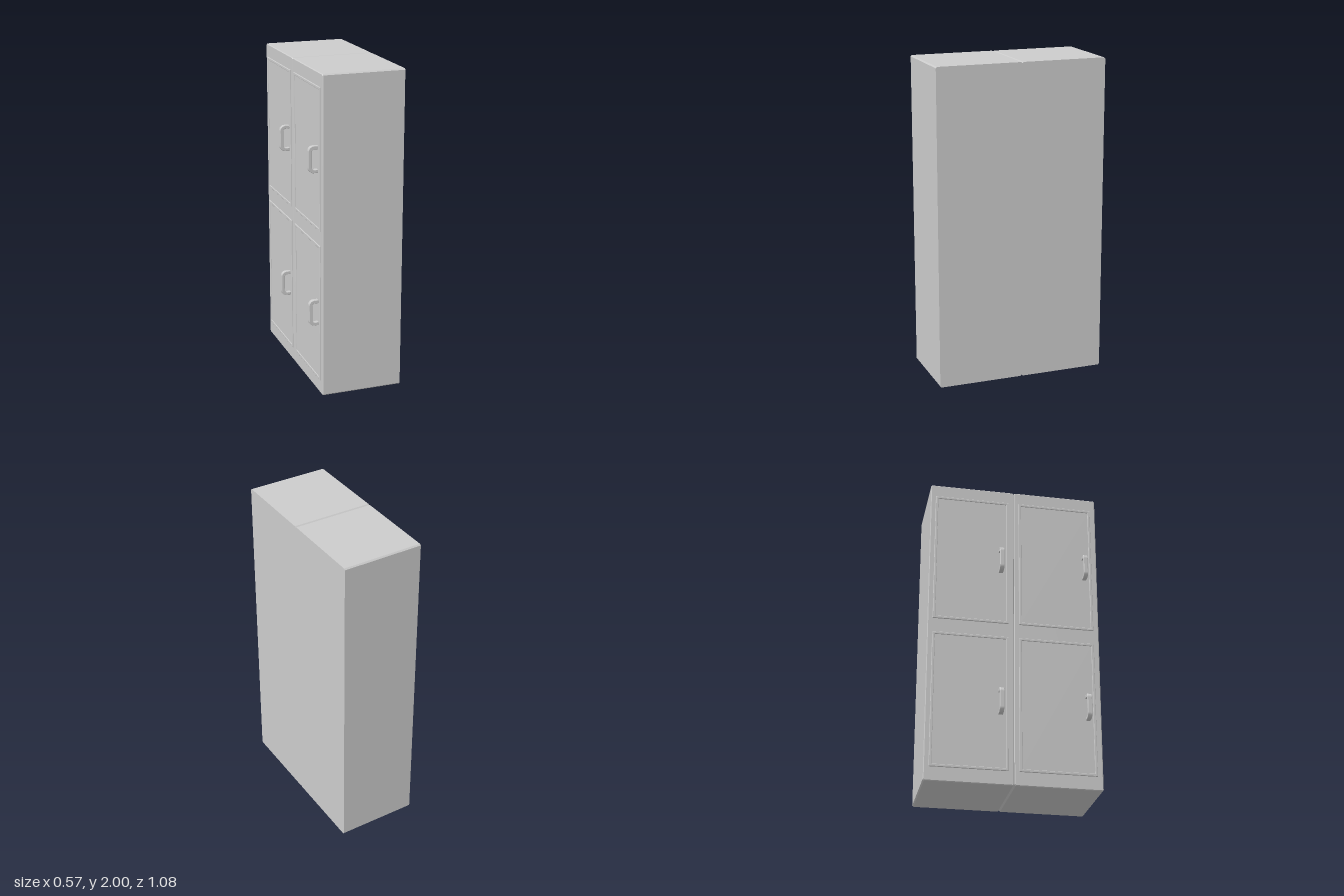
import * as THREE from 'three';

const material = new THREE.MeshStandardMaterial({ color: 0xcccccc, side: THREE.DoubleSide });

function addMesh(parent, geometry, name, x = 0, y = 0, z = 0) {
  const mesh = new THREE.Mesh(geometry, material);
  mesh.name = name;
  mesh.position.set(x, y, z);
  parent.add(mesh);
  return mesh;
}

function rectPath(path, w, h) {
  path.moveTo(-w / 2, -h / 2);
  path.lineTo(w / 2, -h / 2);
  path.lineTo(w / 2, h / 2);
  path.lineTo(-w / 2, h / 2);
  path.closePath();
  return path;
}

// Cabinet shell: chamfered front edges and long edges, flat back.
function cabinetGeometry(w, h, back, front) {
  const c = 0.005, a = w / 2 - c, b = h / 2 - c;
  const shape = new THREE.Shape();
  shape.moveTo(-a + c, -b);
  shape.lineTo(a - c, -b);
  shape.lineTo(a, -b + c);
  shape.lineTo(a, b - c);
  shape.lineTo(a - c, b);
  shape.lineTo(-a + c, b);
  shape.lineTo(-a, b - c);
  shape.lineTo(-a, -b + c);
  shape.closePath();
  const geo = new THREE.ExtrudeGeometry(shape, {
    depth: front - back - 2 * c, bevelThickness: c, bevelSize: c, bevelSegments: 1,
  });
  geo.translate(0, 0, back + c);
  const p = geo.attributes.position;
  for (let i = 0; i < p.count; i++) if (p.getZ(i) < back + c * 1.5) p.setZ(i, back);
  geo.computeVertexNormals();
  return geo;
}

// Raised moulding around a door.
function rimGeometry(w, h) {
  const bevel = 0.003, band = 0.014;
  const shape = rectPath(new THREE.Shape(), w - 2 * bevel, h - 2 * bevel);
  shape.holes.push(rectPath(new THREE.Path(), w - 2 * band, h - 2 * band));
  return new THREE.ExtrudeGeometry(shape, {
    depth: 0.004, bevelThickness: bevel, bevelSize: bevel, bevelSegments: 2,
  });
}

// C-shaped pull: the outline lies in the out/up plane and is extruded sideways.
function handleGeometry() {
  const reach = 0.054, h = 0.079, t = 0.015, r = 0.03, ri = r - t + 0.003, bevel = 0.003;
  const s = new THREE.Shape();
  s.moveTo(0, -h);
  s.lineTo(reach - r, -h);
  s.absarc(reach - r, -h + r, r, -Math.PI / 2, 0, false);
  s.absarc(reach - r, h - r, r, 0, Math.PI / 2, false);
  s.lineTo(0, h);
  s.lineTo(0, h - t);
  s.absarc(reach - t - ri, h - t - ri, ri, Math.PI / 2, 0, true);
  s.absarc(reach - t - ri, -h + t + ri, ri, 0, -Math.PI / 2, true);
  s.lineTo(0, -h + t);
  s.closePath();
  const geo = new THREE.ExtrudeGeometry(s, {
    depth: 0.022, bevelThickness: bevel, bevelSize: bevel, bevelSegments: 2, curveSegments: 8,
  });
  geo.translate(0, 0, -0.011);
  geo.rotateY(-Math.PI / 2);
  return geo;
}

export function createModel() {
  const model = new THREE.Group();
  model.name = 'lockerCabinet';

  // Built with the doors facing +z, then turned so they face -x.
  const unit = new THREE.Group();
  unit.name = 'lockers';
  unit.rotation.y = -Math.PI / 2;
  model.add(unit);

  const front = 0.225, doorW = 0.475, doorH = 0.87;
  const shell = cabinetGeometry(0.54, 2, -0.285, front);
  const rim = rimGeometry(doorW, doorH);
  const panel = new THREE.BoxGeometry(doorW - 0.02, doorH - 0.02, 0.006);
  const handle = handleGeometry();

  for (const x of [-0.27, 0.27]) {
    addMesh(unit, shell, 'cabinetBody', x, 1, 0);
    for (const y of [0.522, 1.483]) {
      const door = new THREE.Group();
      door.name = 'door';
      door.position.set(x - 0.002, y, front);
      addMesh(door, rim, 'doorRim', 0, 0, -0.001);
      addMesh(door, panel, 'doorPanel', 0, 0, -0.001);
      addMesh(door, handle, 'doorHandle', 0.187, 0, 0.004);
      unit.add(door);
    }
  }
  return model;
}
